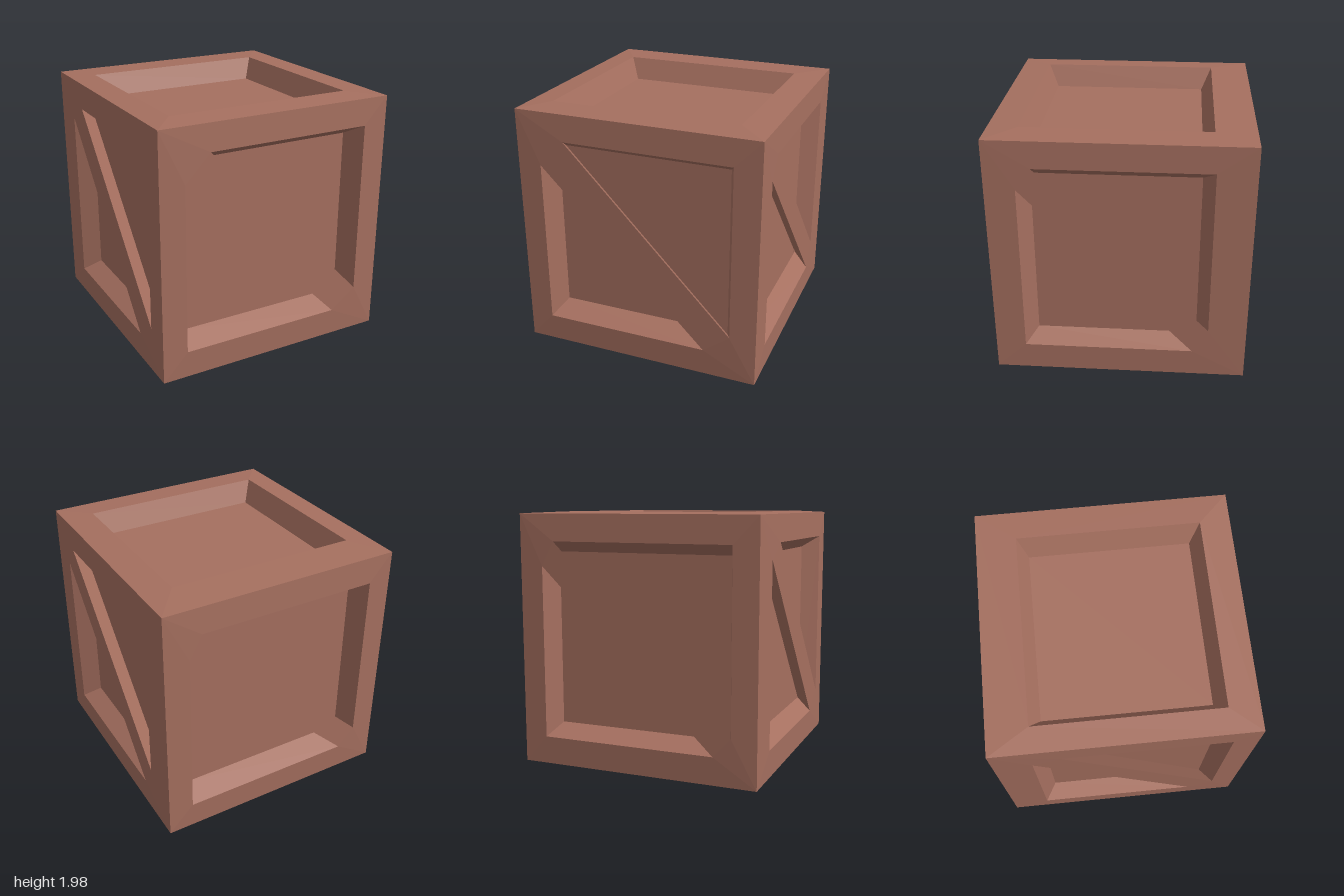
import * as THREE from 'three';

// Half sizes of the crate
const X = 0.965, Y = 0.985, Z = 0.985;

const shapeOf = (pts) => new THREE.Shape(pts.map(([x, y]) => new THREE.Vector2(x, y)));

// Two triangular recesses either side of a diagonal bar (heights measured from the ground).
// Each floor is the outline slid sideways, so the bar is undercut.
function braced(l, r, lowTop, lowRight, highLeft, highBottom, du, dv) {
  const low = [[l, 0.22], [lowRight, 0.22], [l, lowTop]];
  const high = [[r, 1.76], [highLeft, 1.76], [r, highBottom]];
  return [[low, 1], [high, -1]].map(([pts, s]) => {
    const outline = pts.map(([u, v]) => [u, v - Y]);
    return { outline, floor: outline.map(([u, v]) => [u + s * du, v + s * dv]) };
  });
}

// One rectangular recess with sloping walls
function rectangular(l, r, b, t, inset) {
  const rect = (i) => [[l + i, b + i], [r - i, b + i], [r - i, t - i], [l + i, t - i]];
  return [{ outline: rect(0), floor: rect(inset) }];
}

export function createModel() {
  const model = new THREE.Group();
  model.name = 'crate';
  const material = new THREE.MeshStandardMaterial({ color: 0xa56f5f, flatShading: true });

  function addPanel(name, w, h, distance, rotation, depth, bulge, recesses) {
    const panel = new THREE.Group();
    panel.name = name;
    const add = (part, geometry) => {
      const mesh = new THREE.Mesh(geometry, material);
      mesh.name = part;
      panel.add(mesh);
    };

    // Frame bars, raised very slightly around the openings
    const shape = shapeOf([[-w, -h], [w, -h], [w, h], [-w, h]]);
    for (const r of recesses) shape.holes.push(shapeOf(r.outline));
    const frame = new THREE.ShapeGeometry(shape);
    const p = frame.attributes.position;
    for (let i = 0; i < p.count; i++) {
      const corner = Math.abs(Math.abs(p.getX(i)) - w) < 1e-4 && Math.abs(Math.abs(p.getY(i)) - h) < 1e-4;
      if (!corner) p.setZ(i, bulge);
    }
    frame.computeVertexNormals();
    add('frame', frame);

    for (const { outline, floor } of recesses) {
      // Walls from the opening down to the floor
      const v = [];
      outline.forEach((o, i) => {
        const j = (i + 1) % outline.length;
        const a = [...o, bulge], b = [...outline[j], bulge];
        const c = [...floor[i], -depth], d = [...floor[j], -depth];
        v.push(...a, ...b, ...c, ...b, ...d, ...c);
      });
      const walls = new THREE.BufferGeometry();
      walls.setAttribute('position', new THREE.Float32BufferAttribute(v, 3));
      walls.computeVertexNormals();
      add('recessWalls', walls);
      // Sunken board
      add('recessFloor', new THREE.ShapeGeometry(shapeOf(floor)).translate(0, 0, -depth));
    }

    panel.rotation.set(...rotation);
    panel.position.set(0, 0, distance).applyEuler(panel.rotation);
    panel.position.y += Y;
    model.add(panel);
  }

  const q = Math.PI / 2;
  // Four braced sides
  addPanel('frontPanel', X, Y, Z, [0, 0, 0], 0.16, 0.012,
    braced(-0.77, 0.76, 1.55, 0.55, -0.57, 0.38, 0.07, 0.09));
  addPanel('backPanel', X, Y, Z, [0, 2 * q, 0], 0.16, 0.012,
    braced(-0.77, 0.77, 1.57, 0.63, -0.67, 0.37, 0.06, 0.085));
  addPanel('leftPanel', Z, Y, X, [0, q, 0], 0.13, 0.005,
    braced(-0.75, 0.69, 1.59, 0.57, -0.63, 0.42, 0.09, 0.09));
  addPanel('rightPanel', Z, Y, X, [0, -q, 0], 0.13, 0.005,
    braced(-0.69, 0.79, 1.64, 0.58, -0.48, 0.37, 0.09, 0.09));
  // Lid and base
  addPanel('topPanel', X, Z, Y, [-q, 0, 0], 0.16, 0.013,
    rectangular(-0.77, 0.73, -0.75, 0.675, 0.08));
  addPanel('bottomPanel', X, Z, Y, [q, 0, 0], 0.12, 0,
    rectangular(-0.62, 0.57, -0.95, 0.59, 0.07));
  return model;
}
